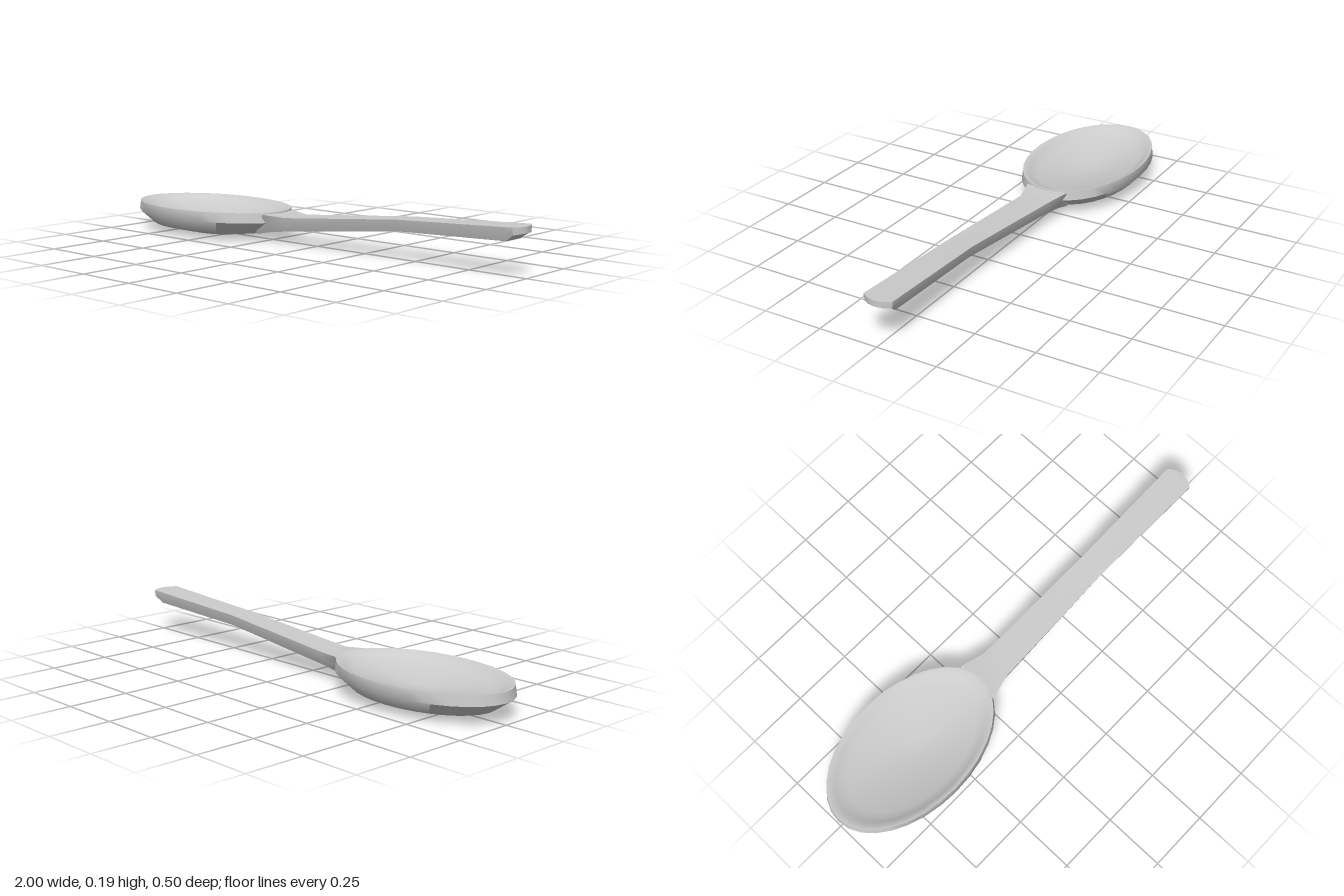
import * as THREE from 'three';
import { toCreasedNormals } from 'three/addons/utils/BufferGeometryUtils.js';

const material = new THREE.MeshStandardMaterial({ color: 0xcccccc });

// Closed skin through hexagonal sections: [x, topY, midY, bottomY, topHalf, midHalf, bottomHalf]
function loft(sections) {
  const pos = [], idx = [], n = 6;
  for (const [x, t, m, b, wt, wm, wb] of sections) {
    pos.push(x, t, wt, x, m, wm, x, b, wb, x, b, -wb, x, m, -wm, x, t, -wt);
  }
  const last = (sections.length - 1) * n;
  for (let i = 0; i < last; i += n) {
    for (let k = 0; k < n; k++) {
      const j = (k + 1) % n;
      idx.push(i + k, i + j, i + n + k, i + j, i + n + j, i + n + k);
    }
  }
  for (let k = 1; k < n - 1; k++) {
    idx.push(0, k + 1, k, last, last + k, last + k + 1);
  }
  const g = new THREE.BufferGeometry();
  g.setAttribute('position', new THREE.Float32BufferAttribute(pos, 3));
  g.setIndex(idx);
  return g;
}

function addMesh(group, name, geometry, crease) {
  const mesh = new THREE.Mesh(toCreasedNormals(geometry.toNonIndexed(), crease), material);
  mesh.name = name;
  group.add(mesh);
}

export function createModel() {
  const group = new THREE.Group();
  group.name = 'spoon';

  // Oval bowl: outer shell, thin rim, then a shallow hollow, turned as a circle and squashed
  const profile = [
    [0, 0], [0.37, 0.002], [0.81, 0.029], [1, 0.081], [0.985, 0.122],
    [0.96, 0.122], [0.89, 0.106], [0.77, 0.087], [0.12, 0.056], [0, 0.055],
  ].map(([r, y]) => new THREE.Vector2(r, y));
  const bowl = new THREE.LatheGeometry(profile, 32);
  bowl.deleteAttribute('normal');
  bowl.deleteAttribute('uv');
  bowl.scale(0.4, 1, 0.248);
  bowl.translate(-0.6, 0, 0);
  addMesh(group, 'bowl', bowl, 0.9);

  // Handle: flared neck, slender waist, bevelled and rounded tip
  const handle = loft([
    [-0.28, 0.045, 0.038, 0.028, 0.07, 0.07, 0.065],
    [-0.222, 0.117, 0.08, 0.04, 0.092, 0.075, 0.055],
    [-0.12, 0.111, 0.085, 0.054, 0.066, 0.063, 0.05],
    [0.45, 0.163, 0.142, 0.116, 0.055, 0.05, 0.042],
    [0.94, 0.188, 0.166, 0.135, 0.061, 0.058, 0.046],
    [0.977, 0.19, 0.178, 0.161, 0.062, 0.061, 0.058],
    [0.994, 0.19, 0.178, 0.164, 0.036, 0.036, 0.034],
    [1.0, 0.19, 0.178, 0.165, 0.012, 0.012, 0.012],
  ]);
  addMesh(group, 'handle', handle, 0.45);

  return group;
}
